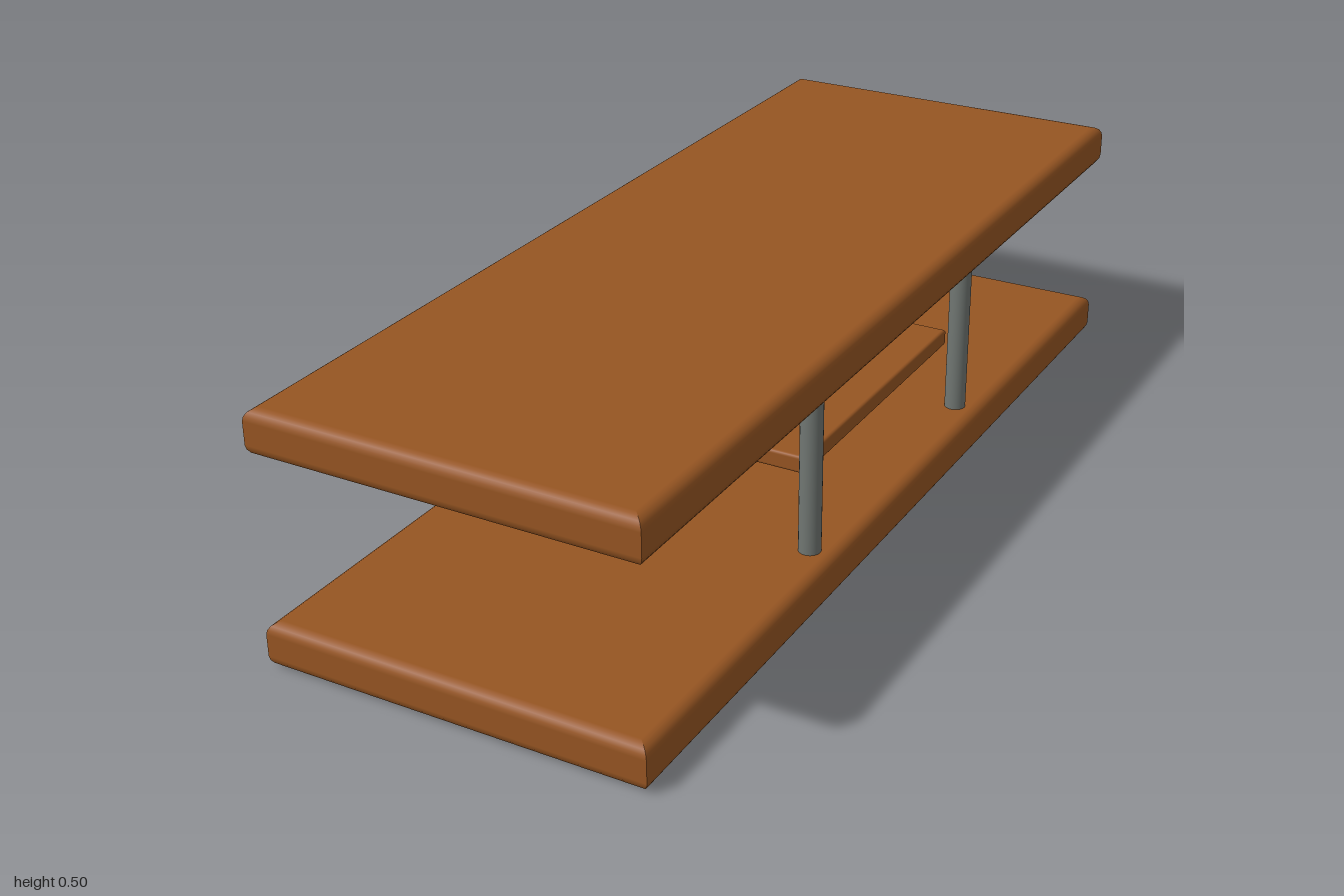
import * as THREE from 'three';
import { mergeGeometries } from 'three/addons/utils/BufferGeometryUtils.js';

const wood = new THREE.MeshStandardMaterial({ color: 0x965522 });
wood.name = 'wood';
const metal = new THREE.MeshStandardMaterial({ color: 0x707672 });
metal.name = 'metal';

// One side of a board: rounded top and bottom edges, mitred at both ends
function sideStrip(half, depth, height, r, angle) {
  const steps = 4, pos = [], nor = [], idx = [];
  for (const s of [-1, 1]) {
    for (let i = 0; i <= steps; i++) {
      const a = (s < 0 ? i - steps : i) / steps * Math.PI / 2;
      const inset = r * (1 - Math.cos(a));
      const y = s * (height / 2 - r) + r * Math.sin(a);
      pos.push(inset - half, y, depth - inset, half - inset, y, depth - inset);
      for (let k = 0; k < 2; k++) nor.push(0, Math.sin(a), Math.cos(a));
    }
  }
  for (let i = 0; i < pos.length / 6 - 1; i++) {
    const a = i * 2;
    idx.push(a, a + 1, a + 3, a, a + 3, a + 2);
  }
  const g = new THREE.BufferGeometry();
  g.setAttribute('position', new THREE.Float32BufferAttribute(pos, 3));
  g.setAttribute('normal', new THREE.Float32BufferAttribute(nor, 3));
  g.setIndex(idx);
  return g.rotateY(angle);
}

// Board with four rounded sides and flat top and bottom
function board(name, width, height, length, r, y) {
  const parts = [];
  for (let i = 0; i < 4; i++) {
    const [h, d] = i % 2 ? [length / 2, width / 2] : [width / 2, length / 2];
    parts.push(sideStrip(h, d, height, r, i * Math.PI / 2));
  }
  for (const s of [-1, 1]) {
    const cap = new THREE.PlaneGeometry(width - 2 * r, length - 2 * r);
    cap.deleteAttribute('uv');
    parts.push(cap.rotateX(-s * Math.PI / 2).translate(0, s * height / 2, 0));
  }
  const mesh = new THREE.Mesh(mergeGeometries(parts), wood);
  mesh.name = name;
  mesh.position.y = y;
  return mesh;
}

export function createModel() {
  const model = new THREE.Group();
  model.name = 'table';

  // Base, shelf and top
  model.add(board('base', 0.76, 0.088, 2, 0.022, 0.044));
  model.add(board('shelf', 0.616, 0.035, 0.63, 0.006, 0.2455));
  model.add(board('top', 0.76, 0.088, 2, 0.022, 0.456));

  // Four posts
  const postGeometry = new THREE.CylinderGeometry(0.0215, 0.0215, 0.34, 24);
  for (const x of [-1, 1]) {
    for (const z of [-1, 1]) {
      const post = new THREE.Mesh(postGeometry, metal);
      post.name = (z > 0 ? 'front' : 'back') + (x > 0 ? 'Left' : 'Right') + 'Post';
      post.position.set(x * 0.329, 0.25, z * 0.333);
      model.add(post);
    }
  }
  return model;
}
